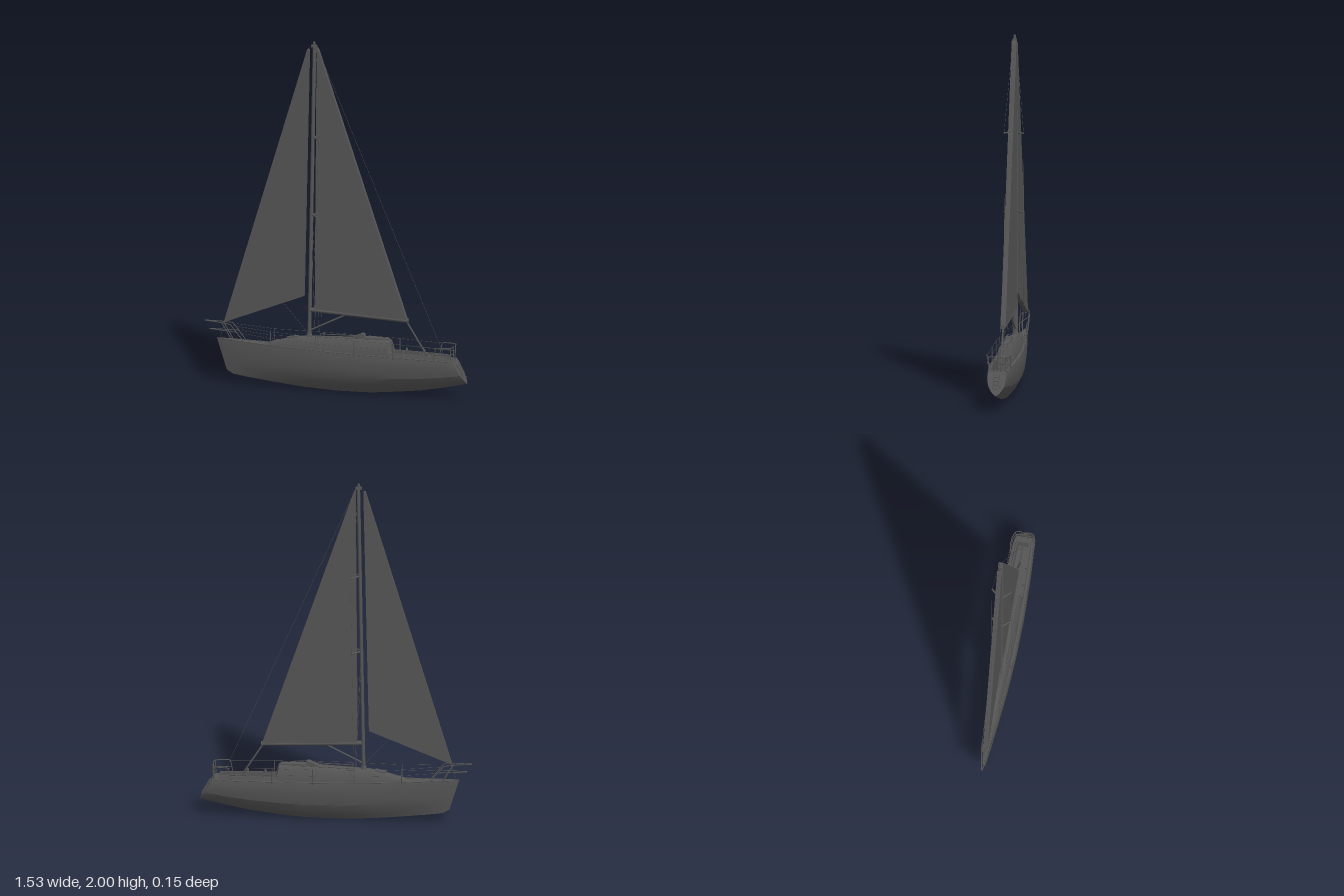
import * as THREE from 'three';
import { toCreasedNormals } from 'three/addons/utils/BufferGeometryUtils.js';

const material = new THREE.MeshStandardMaterial({ color: 0x555555, side: THREE.DoubleSide });

function add(parent, name, geometry, x = 0, y = 0, z = 0) {
  const mesh = new THREE.Mesh(geometry, material);
  mesh.name = name;
  mesh.position.set(x, y, z);
  parent.add(mesh);
  return mesh;
}

// Round bar between two points
function bar(parent, name, a, b, radius, sides = 6) {
  const p = new THREE.Vector3(...a), q = new THREE.Vector3(...b);
  const mesh = add(parent, name, new THREE.CylinderGeometry(radius, radius, p.distanceTo(q), sides));
  mesh.position.copy(p).lerp(q, 0.5);
  mesh.quaternion.setFromUnitVectors(new THREE.Vector3(0, 1, 0), q.sub(p).normalize());
  return mesh;
}

// Chain of thin bars through a list of points
function line(parent, name, points, radius) {
  for (let i = 1; i < points.length; i++) bar(parent, name, points[i - 1], points[i], radius, 5);
}

// Bent rail through a list of points
function rail(parent, name, points, radius = 0.0028) {
  const path = new THREE.CatmullRomCurve3(points.map(p => new THREE.Vector3(...p)), false, 'catmullrom', 0.15);
  add(parent, name, new THREE.TubeGeometry(path, points.length * 8, radius, 6));
}

// Skin over half sections (top centre to bottom centre), mirrored across z and capped
function loft(halves, crease) {
  const rings = halves.map(h => [...h, ...h.slice(1, -1).reverse().map(([x, y, z]) => [x, y, -z])]);
  const n = rings[0].length, positions = [], index = [];
  rings.forEach(r => r.forEach(p => positions.push(...p)));
  for (let i = 0; i < rings.length - 1; i++) {
    for (let j = 0; j < n; j++) {
      const k = (j + 1) % n, a = i * n + j, b = a + n, c = i * n + k, d = c + n;
      index.push(a, c, b, c, d, b);
    }
  }
  [0, rings.length - 1].forEach((i, end) => {
    const m = n / 2;
    for (let j = 0; j < m; j++) {
      const a = i * n + j, b = a + 1, c = i * n + (n - j) % n, d = i * n + n - j - 1;
      if (end) index.push(a, b, c, b, d, c);
      else index.push(a, c, b, b, c, d);
    }
  });
  const g = new THREE.BufferGeometry();
  g.setAttribute('position', new THREE.Float32BufferAttribute(positions, 3));
  g.setIndex(index);
  return toCreasedNormals(g, crease);
}

// Flat slab of cloth in the x-y plane
function slab(points, depth) {
  const shape = new THREE.Shape(points.map(p => new THREE.Vector2(...p)));
  return new THREE.ExtrudeGeometry(shape, { depth, bevelEnabled: false }).translate(0, 0, -depth / 2);
}

function buildHull(boat) {
  // deck x, keel x, deck y, keel y, half beam, fullness, cockpit (0 or 1)
  const stations = [
    [-0.69, -0.635, 0.255, 0.08, 0.003, 0, 0], [-0.66, -0.6, 0.254, 0.058, 0.009, 0, 0],
    [-0.55, -0.52, 0.25, 0.046, 0.022, 0, 0], [-0.4, -0.38, 0.244, 0.03, 0.038, 0.1, 0],
    [-0.2, -0.2, 0.239, 0.012, 0.057, 0.2, 0], [0, 0, 0.235, 0.003, 0.07, 0.25, 0],
    [0.2, 0.2, 0.232, 0.006, 0.075, 0.25, 0], [0.325, 0.325, 0.23, 0.018, 0.074, 0.3, 0],
    [0.328, 0.33, 0.23, 0.019, 0.074, 0.3, 1], [0.48, 0.49, 0.228, 0.038, 0.071, 0.4, 1],
    [0.6, 0.63, 0.226, 0.065, 0.065, 0.6, 1], [0.655, 0.7, 0.225, 0.081, 0.06, 0.7, 1],
    [0.658, 0.703, 0.225, 0.082, 0.06, 0.7, 0], [0.692, 0.764, 0.224, 0.096, 0.052, 0.8, 0]];
  const side = [[0, 0.93], [0.1, 0.98], [0.22, 1], [0.4, 0.95], [0.58, 0.84], [0.74, 0.57], [0.88, 0.28], [1, 0]];
  const halves = stations.map(([xt, xb, yt, yb, beam, full, pit]) => {
    const floor = yt - 0.055 * pit, rim = yt + 0.022 * pit;
    const deck = [[0, floor], [0.5, floor], [0.53, rim], [0.66, rim], [0.72, yt + 0.002]]
      .map(([w, y]) => [xt, y, w * beam]);
    const skin = side.map(([s, w]) => [
      xt + (xb - xt) * s, yt + (yb - yt) * s, beam * (w + (Math.sqrt(w) - w) * full * 0.6)]);
    return [...deck, ...skin];
  });
  add(boat, 'hull', loft(halves, 0.3));

  // Toe rails along the deck edge
  for (const s of [-1, 1]) {
    rail(boat, 'toeRail', stations.map(a => [a[0], a[2] + 0.002, s * a[4] * 0.92]), 0.0025);
  }
  // Transom panel and boarding ladder
  const transom = new THREE.Group();
  transom.name = 'transom';
  transom.position.set(0.727, 0.163, 0);
  transom.rotation.z = 0.51;
  boat.add(transom);
  add(transom, 'transomPanel', new THREE.BoxGeometry(0.006, 0.095, 0.052));
  for (const s of [-1, 1]) bar(transom, 'ladderSide', [0.006, -0.04, s * 0.016], [0.006, 0.05, s * 0.016], 0.0025);
  for (let i = 0; i < 4; i++) {
    bar(transom, 'ladderRung', [0.006, -0.035 + i * 0.024, -0.016], [0.006, -0.035 + i * 0.024, 0.016], 0.002);
  }
}

function buildCabin(boat) {
  // x, roof height, half width
  const sections = [[-0.42, 0.247, 0.012], [-0.36, 0.267, 0.024], [-0.28, 0.288, 0.033], [-0.19, 0.306, 0.04],
    [-0.05, 0.312, 0.047], [0.12, 0.32, 0.051], [0.3, 0.321, 0.05], [0.318, 0.318, 0.05], [0.336, 0.25, 0.049]];
  add(boat, 'cabin', loft(sections.map(([x, y, w]) => {
    const h = y - 0.225;
    return [[x, y, 0], [x, y - 0.05 * h, 0.5 * w], [x, y - 0.2 * h, 0.72 * w], [x, 0.225 + 0.3 * h, 0.95 * w],
      [x, 0.225, w], [x, 0.225, 0]];
  }), 0.5));
  // Companionway hood, fore hatch and door
  add(boat, 'companionwayHood', slab([[0.09, 0.315], [0.13, 0.334], [0.15, 0.343], [0.165, 0.342], [0.17, 0.325], [0.31, 0.324], [0.31, 0.315]], 0.034));
  add(boat, 'foreHatch', new THREE.BoxGeometry(0.06, 0.008, 0.03), -0.25, 0.295, 0).rotation.z = 0.2;
  add(boat, 'companionwayDoor', new THREE.BoxGeometry(0.006, 0.07, 0.03), 0.328, 0.28, 0).rotation.z = 0.27;
  for (const s of [-1, 1]) {
    for (const [x, z] of [[-0.08, 0.0425], [0.06, 0.0465], [0.21, 0.0475]]) {
      add(boat, 'cabinWindow', new THREE.BoxGeometry(0.1, 0.017, 0.004), x, 0.265, s * z).rotation.x = -s * 0.25;
    }
    bar(boat, 'grabRail', [-0.1, 0.314, s * 0.03], [0.26, 0.322, s * 0.03], 0.0025);
    for (const x of [0.4, 0.5]) {
      add(boat, 'winch', new THREE.CylinderGeometry(0.006, 0.008, 0.016, 12), x, 0.258, s * 0.042);
    }
  }
  bar(boat, 'tiller', [0.64, 0.235, 0], [0.5, 0.245, 0], 0.004);
}

function buildRig(boat) {
  // Mast, leaning slightly aft
  const mast = bar(boat, 'mast', [-0.155, 0.3, 0], [-0.125, 1.975, 0], 0.01, 16);
  mast.scale.z = 1.45;
  add(boat, 'mastHead', new THREE.BoxGeometry(0.034, 0.014, 0.018), -0.127, 1.975, 0);
  add(boat, 'mastLight', new THREE.CylinderGeometry(0.007, 0.008, 0.02, 10), -0.127, 1.99, 0);
  add(boat, 'mastStep', new THREE.CylinderGeometry(0.014, 0.018, 0.02, 12), -0.155, 0.313, 0);

  // Sails, boom and the gear below it
  add(boat, 'mainSail', slab([[-0.12, 0.465], [0.415, 0.438], [-0.098, 1.95], [-0.109, 1.97]], 0.028));
  add(boat, 'headSail', slab([[-0.65, 0.352], [-0.185, 0.535], [-0.154, 1.955], [-0.165, 1.955]], 0.026));
  bar(boat, 'furlingLuff', [-0.645, 0.352, 0], [-0.16, 1.955, 0], 0.006, 8);
  bar(boat, 'boom', [-0.145, 0.458, 0], [0.42, 0.434, 0], 0.012, 12).scale.z = 1.35;
  bar(boat, 'boomVang', [-0.15, 0.34, 0], [0.06, 0.444, 0], 0.005, 8);
  bar(boat, 'mainSheet', [0.41, 0.43, 0], [0.53, 0.24, 0], 0.005, 8);

  // Standing rigging
  line(boat, 'backStay', [[-0.112, 1.975, 0], [0.638, 0.228, 0]], 0.0009);
  line(boat, 'foreStay', [[-0.155, 1.97, 0], [-0.675, 0.255, 0]], 0.0009);
  line(boat, 'headSailSheet', [[-0.385, 0.58, 0.014], [-0.16, 0.33, 0.014]], 0.0008);
  for (const s of [-1, 1]) {
    for (const [y, x] of [[1.005, -0.142], [1.452, -0.134]]) {
      bar(boat, 'spreader', [x, y, 0], [x + 0.05, y, s * 0.055], 0.005, 8);
    }
    line(boat, 'shroud', [[-0.125, 1.96, s * 0.01], [-0.086, 1.452, s * 0.055],
      [-0.094, 1.005, s * 0.055], [-0.105, 0.238, s * 0.055]], 0.0008);
    line(boat, 'lowerShroud', [[-0.142, 1.0, s * 0.01], [-0.105, 0.238, s * 0.045]], 0.0008);
  }
}

function buildRails(boat) {
  // Open bow rail
  for (const s of [-1, 1]) {
    rail(boat, 'bowRail', [[-0.762, 0.354, s * 0.003], [-0.68, 0.351, s * 0.014], [-0.61, 0.345, s * 0.025],
      [-0.59, 0.325, s * 0.026], [-0.53, 0.25, s * 0.023]]);
    rail(boat, 'bowRailLower', [[-0.735, 0.308, s * 0.003], [-0.65, 0.305, s * 0.015], [-0.575, 0.304, s * 0.025]], 0.0025);
    bar(boat, 'bowRailLeg', [-0.66, 0.35, s * 0.017], [-0.6, 0.25, s * 0.014], 0.0028);

    // Stanchions and life lines
    const posts = [[-0.37, 0.242, 0.038], [-0.088, 0.236, 0.062], [0.125, 0.233, 0.07], [0.352, 0.23, 0.069]];
    posts.forEach(([x, y, z]) => bar(boat, 'stanchion', [x, y - 0.01, s * z], [x, y + 0.083, s * z], 0.0022));
    for (const [h, front] of [[0.081, 0.34], [0.043, 0.304]]) {
      line(boat, 'lifeLine', [[-0.59, front, s * 0.026], ...posts.map(([x, y, z]) => [x, y + h, s * z]),
        [0.6, 0.222 + h, s * 0.065]], 0.0008);
    }
    // Stern rail, one half each side
    rail(boat, 'sternRail', [[0.582, 0.224, s * 0.06], [0.6, 0.303, s * 0.067], [0.65, 0.306, s * 0.064],
      [0.684, 0.306, s * 0.05], [0.69, 0.306, s * 0.018], [0.686, 0.224, s * 0.018]]);
    rail(boat, 'sternRailLower', [[0.592, 0.265, s * 0.064], [0.65, 0.266, s * 0.061],
      [0.682, 0.266, s * 0.049], [0.688, 0.266, s * 0.018]], 0.0025);
    bar(boat, 'sternRailLeg', [0.682, 0.306, s * 0.05], [0.678, 0.222, s * 0.046], 0.0028);
  }
}

export function createModel() {
  const boat = new THREE.Group();
  boat.name = 'sailingBoat';
  buildHull(boat);
  buildCabin(boat);
  buildRig(boat);
  buildRails(boat);
  return boat;
}
